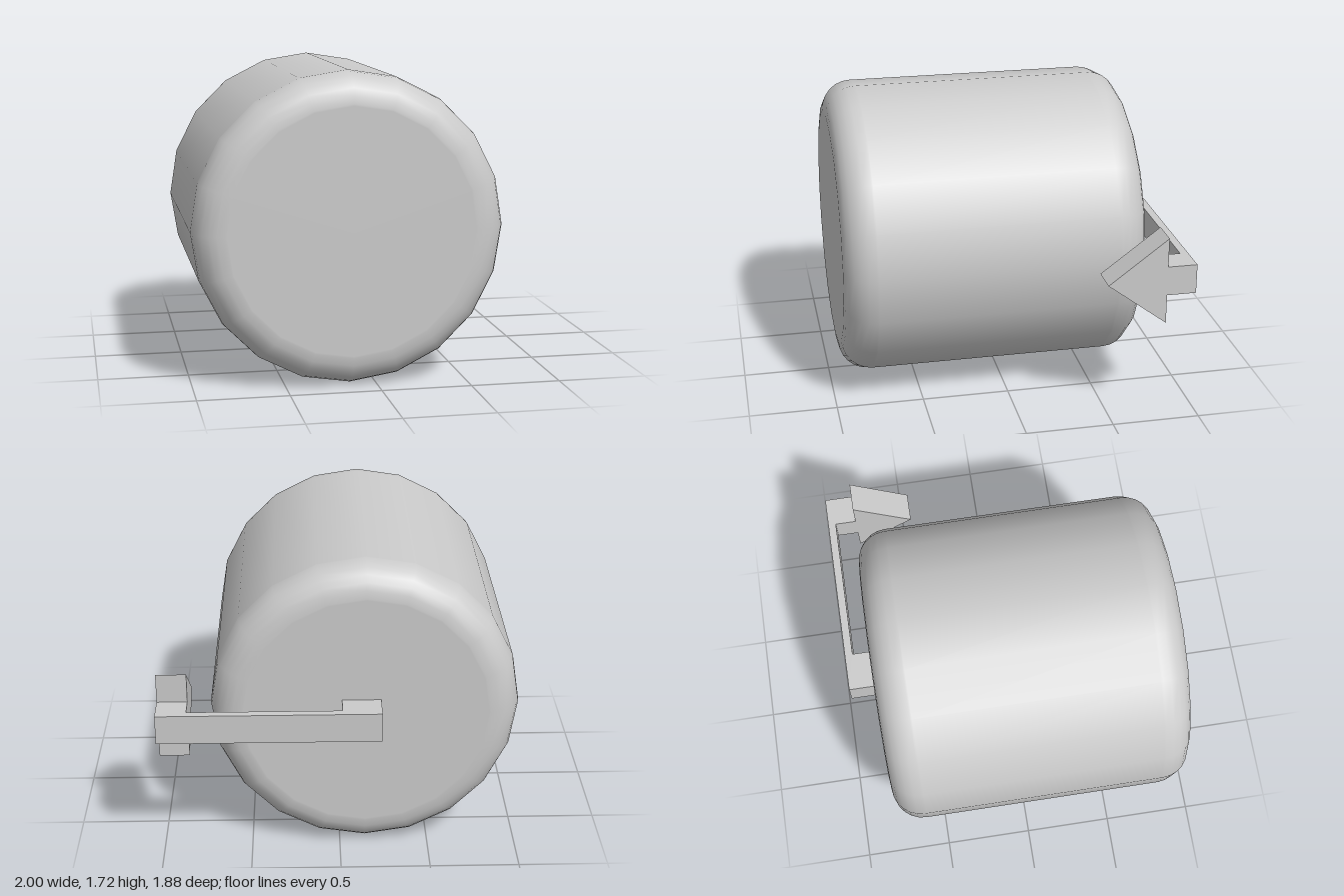
import * as THREE from 'three';

const material = new THREE.MeshStandardMaterial({ color: 0xcccccc });

function addMesh(group, name, geometry) {
  const mesh = new THREE.Mesh(geometry, material);
  mesh.name = name;
  group.add(mesh);
  return mesh;
}

function extrude(points, depth) {
  const shape = new THREE.Shape(points.map(([x, y]) => new THREE.Vector2(x, y)));
  return new THREE.ExtrudeGeometry(shape, { depth, bevelEnabled: false });
}

export function createModel() {
  const group = new THREE.Group();

  // Drum: 20-sided cylinder lying along z, with rounded rims
  const radius = 0.858, back = -0.78, front = 0.94, round = 0.17, steps = 6, hold = 0.01;
  const inner = radius - round;
  const profile = [new THREE.Vector2(0, back), new THREE.Vector2(inner - hold, back)];
  const addRim = (z, start) => {
    for (let i = 0; i <= steps; i++) {
      const a = start + (i / steps) * Math.PI / 2;
      profile.push(new THREE.Vector2(inner + round * Math.cos(a), z + round * Math.sin(a)));
    }
  };
  addRim(back + round, -Math.PI / 2);
  // Extra rings keep the wall and the end faces flat in shading
  profile.push(new THREE.Vector2(radius, back + round + hold));
  profile.push(new THREE.Vector2(radius, front - round - hold));
  addRim(front - round, 0);
  profile.push(new THREE.Vector2(inner - hold, front), new THREE.Vector2(0, front));
  const drum = addMesh(group, 'drum', new THREE.LatheGeometry(profile, 20).rotateX(Math.PI / 2));
  drum.position.set(-0.142, 0.862, 0);

  // Bracket: U-shaped bar behind the drum, outline in x and z
  const bracket = addMesh(group, 'bracket', extrude([
    [-0.225, -0.945], [1, -0.945], [1, -0.78], [0.833, -0.78],
    [0.833, -0.9], [-0.01, -0.9], [-0.01, -0.78], [-0.225, -0.78],
  ], 0.168).rotateX(Math.PI / 2));
  bracket.position.y = 0.947;

  // Pointer: triangular wedge at the bracket's free end, aimed forward
  const pointer = addMesh(group, 'pointer', extrude([
    [0.78, 0.612], [0.78, 1.114], [0.447, 0.863],
  ], 0.167).rotateY(Math.PI / 2));
  pointer.position.x = 0.833;

  return group;
}
